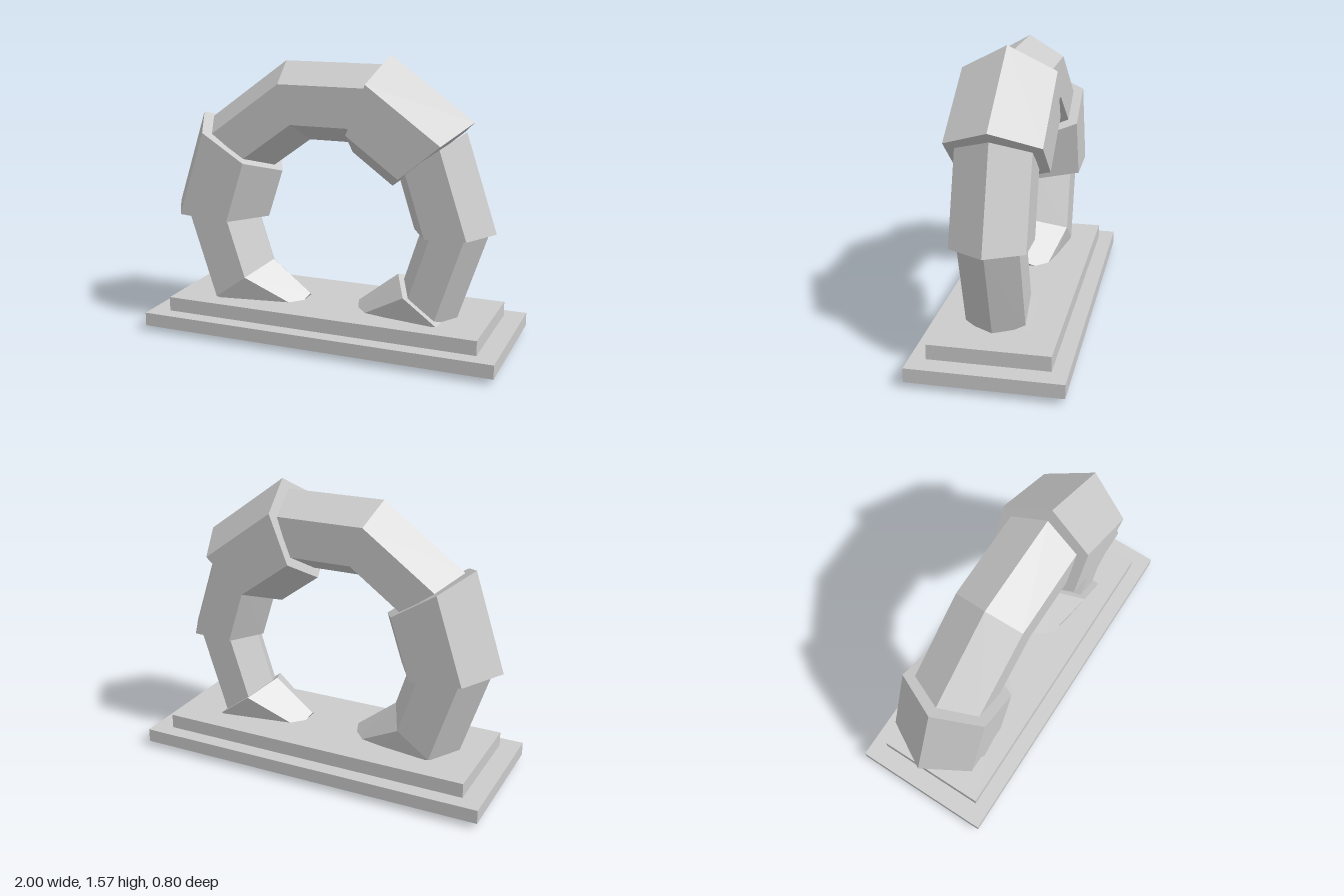
import * as THREE from 'three';

const CENTER_Y = 0.658, CENTER_Z = 0.022, RING = 0.683;
const rad = THREE.MathUtils.degToRad;

// Hexagonal ring cross-section: angle around the ring, tube radius, plane angle, distance from ring centre
const section = (angle, r, plane = angle, R = RING) => {
  const a = rad(angle), p = rad(plane);
  return Array.from({ length: 6 }, (_, k) => {
    const u = r * Math.cos(k * Math.PI / 3), w = r * Math.sin(k * Math.PI / 3);
    return [
      R * Math.cos(a) + u * Math.cos(p),
      CENTER_Y + R * Math.sin(a) + u * Math.sin(p),
      CENTER_Z + w,
    ];
  });
};

// Faceted tube through the sections (in order of rising angle), closed at both ends
function tube(sections) {
  const pos = [];
  const tri = (...points) => points.forEach(p => pos.push(...p));
  for (let i = 0; i < sections.length - 1; i++) {
    const s = sections[i], e = sections[i + 1];
    for (let k = 0; k < 6; k++) {
      const n = (k + 1) % 6;
      tri(s[k], e[k], e[n]);
      tri(s[k], e[n], s[n]);
    }
  }
  const first = sections[0], last = sections[sections.length - 1];
  for (let k = 1; k < 5; k++) {
    tri(first[0], first[k], first[k + 1]);
    tri(last[0], last[k + 1], last[k]);
  }
  const geo = new THREE.BufferGeometry();
  geo.setAttribute('position', new THREE.Float32BufferAttribute(pos, 3));
  geo.computeVertexNormals();
  return geo;
}

export function createModel() {
  const group = new THREE.Group();
  const material = new THREE.MeshStandardMaterial({ color: 0xcccccc, flatShading: true });
  const add = (name, geo, y = 0) => {
    const mesh = new THREE.Mesh(geo, material);
    mesh.name = name;
    mesh.position.y = y;
    group.add(mesh);
  };

  // Stepped plinth
  add('plinthLower', new THREE.BoxGeometry(2, 0.075, 0.8), 0.0675);
  add('plinthUpper', new THREE.BoxGeometry(1.78, 0.08, 0.63), 0.145);

  const THIN = 0.18, MID = 0.223, THICK = 0.285, TIP = 0.125;

  // Ring pieces on the +x side, from the foot up
  add('leftFoot', tube([section(-68.9, TIP, -57.8, 0.593), section(-36, MID, -36.5)]));
  add('leftLowerArc', tube([section(-36, THIN), section(0, THIN, -2)]));
  add('leftMiddleArc', tube([section(0, MID, 2), section(36, MID)]));
  add('leftCollar', tube([section(36, THICK, 40), section(72, THICK, 68.5)]));

  // Arch over the top
  add('topArc', tube([section(72, MID), section(108, MID), section(144, MID)]));

  // Ring pieces on the -x side, down to the foot
  add('rightCollar', tube([section(144, THICK, 147.7), section(180, THICK, 176.3)]));
  add('rightLowerArc', tube([
    section(180, MID), section(216, MID), section(248.9, TIP, 237.8, 0.593),
  ]));

  return group;
}
